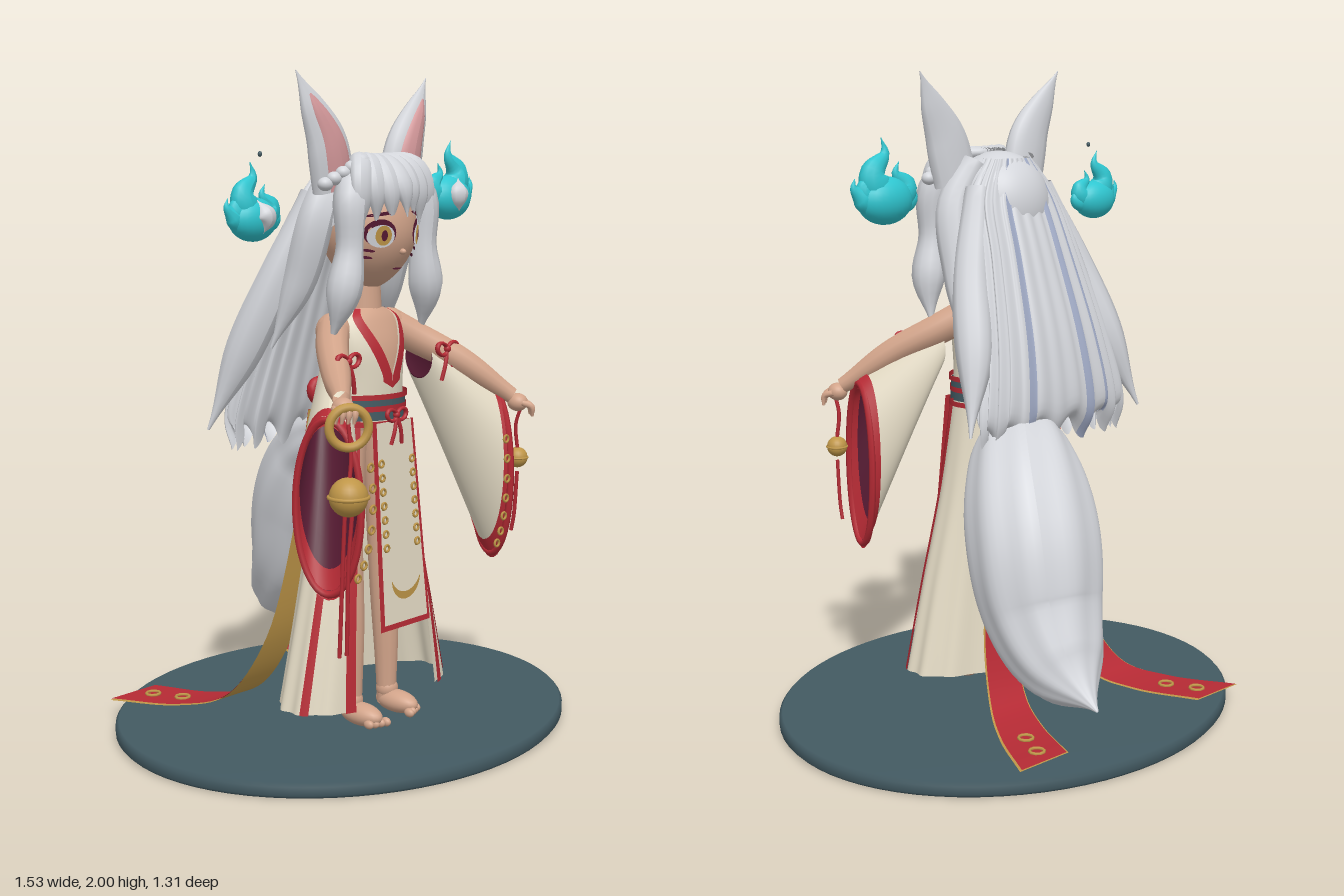
import * as THREE from 'three';

const mat = (name, color) => new THREE.MeshStandardMaterial({ name, color, side: THREE.DoubleSide });
const V = (p) => new THREE.Vector3(...p);

// Smooth interpolation through rows of numbers, t in 0..1
function key(rows) {
  const cols = rows[0].map((_, c) => new THREE.SplineCurve(rows.map((r, i) => new THREE.Vector2(i, r[c]))));
  return (t) => cols.map((s) => s.getPoint(t).y);
}

// Surface from a rule f(u, v) -> [x, y, z]
function grid(f, nu, nv) {
  const pos = [], idx = [];
  for (let j = 0; j <= nv; j++) for (let i = 0; i <= nu; i++) pos.push(...f(i / nu, j / nv));
  for (let j = 0; j < nv; j++) for (let i = 0; i < nu; i++) {
    const a = j * (nu + 1) + i, b = a + nu + 1;
    idx.push(a, b, a + 1, b, b + 1, a + 1);
  }
  const g = new THREE.BufferGeometry();
  g.setAttribute('position', new THREE.Float32BufferAttribute(pos, 3));
  g.setIndex(idx);
  g.computeVertexNormals();
  return g;
}

// Tube with changing radius, flattened along the world axes, with optional grooves
function taper(points, radii, { flat = [1, 1, 1], seg = 20, rad = 12, groove = 0, n = 7 } = {}) {
  const path = new THREE.CatmullRomCurve3(points.map(V));
  const g = new THREE.TubeGeometry(path, seg, 1, rad), p = g.attributes.position;
  const r = key(radii.map((q) => [q])), v = new THREE.Vector3(), f = V(flat);
  for (let k = 0; k < p.count; k++) {
    const i = Math.floor(k / (rad + 1)), a = (k % (rad + 1)) / rad * Math.PI * 2, c = path.getPointAt(i / seg);
    const w = Math.max(0.001, r(i / seg)[0]) * (1 + groove * Math.cos(a * n + i / seg * 3));
    v.fromBufferAttribute(p, k).sub(c).multiplyScalar(w).multiply(f).add(c);
    p.setXYZ(k, v.x, v.y, v.z);
  }
  g.computeVertexNormals();
  return g;
}

// Elliptical loft; rows are [y, rx, cz, rz], angle 0 faces the front
function loft(rows, a0, a1, { grow = 0, pleat = 0, nu = 48, nv = 16 } = {}) {
  const k = key(rows);
  return grid((u, v) => {
    const [y, rx, cz, rz] = k(v), a = a0(v) + (a1(v) - a0(v)) * u, w = 1 + pleat * v * Math.cos(a * 14);
    return [(rx + grow) * w * Math.sin(a), y, cz + (rz + grow) * w * Math.cos(a)];
  }, nu, nv);
}

export function createModel() {
  const root = new THREE.Group(), body = new THREE.Group();
  root.name = 'foxMaidenFigurine';
  body.name = 'figure';
  body.position.x = -0.055;
  root.add(body);
  const hair = mat('silver hair', 0xd3d5da), blue = mat('blue hair', 0xa3adc8), skin = mat('skin', 0xd2a48a),
    cream = mat('cream cloth', 0xe2d9c3), red = mat('red trim', 0xb52a34), maroon = mat('maroon lining', 0x561a32),
    gold = mat('gold', 0xbf9648), teal = mat('teal flame', 0x2fc6d0), slate = mat('slate', 0x435a62), pink = mat('ear pink', 0xd69a9c);
  const add = (name, geo, m, pos = [0, 0, 0], parent = body) => {
    const o = new THREE.Mesh(geo, m);
    o.name = name;
    o.position.set(...pos);
    parent.add(o);
    return o;
  };
  const ball = (name, r, m, pos, parent) => {
    const o = add(name, new THREE.SphereGeometry(1, 24, 16), m, pos, parent);
    o.scale.set(...r);
    return o;
  };
  const cord = (name, pts, r = 0.007, m = red) =>
    add(name, new THREE.TubeGeometry(new THREE.CatmullRomCurve3(pts.map(V)), 20, r, 6), m);
  const all = [() => 0, () => Math.PI * 2];

  // Base
  const base = add('base', new THREE.LatheGeometry([[0, 0], [0.755, 0], [0.765, 0.01], [0.765, 0.035], [0.755, 0.045], [0, 0.045]]
    .map((p) => new THREE.Vector2(...p)), 72), slate, [0, 0, 0], root);
  base.scale.z = 0.655 / 0.765;

  // Skirt with an open front and red edging
  const skirt = [[0.99, 0.135, 0.13, 0.11], [0.7, 0.19, 0.13, 0.13], [0.4, 0.265, 0.135, 0.147], [0.13, 0.33, 0.135, 0.165]];
  const gap = (v) => 0.8 - 0.2 * v;
  add('skirt', loft(skirt, gap, (v) => Math.PI * 2 - gap(v), { pleat: 0.02, nu: 120 }), cream);
  for (const s of [-1, 1]) {
    add('skirtEdge', loft(skirt, (v) => s * gap(v), (v) => s * (gap(v) + 0.12), { grow: 0.007, nu: 4 }), red);
    add('skirtSideStripe', loft(skirt, () => s * 1.2, () => s * 1.34, { grow: 0.008, nu: 4 }), red);
  }

  // Front panel with border, gold studs and crescent
  const panelZ = (y) => 0.25 + (0.98 - y) * 0.09;
  const panel = (w, y0, y1, lift) => grid((u, v) => {
    const y = y0 + (y1 - y0) * v;
    return [(u - 0.5) * 2 * (w + 0.02 * v), y, panelZ(y) + lift];
  }, 2, 8);
  add('panelBorder', panel(0.093, 0.98, 0.36, 0), red);
  add('frontPanel', panel(0.078, 0.98, 0.378, 0.004), cream);
  for (let i = 0; i < 7; i++) for (const s of [-1, 1]) {
    const y = 0.86 - i * 0.042;
    add('panelStud', new THREE.TorusGeometry(0.01, 0.004, 6, 12), gold, [s * 0.07, y, panelZ(y) + 0.006]);
  }
  const moon = new THREE.Shape();
  moon.absarc(0, 0, 0.065, Math.PI * 1.02, Math.PI * 1.98, false);
  moon.absarc(0, 0.028, 0.07, -0.45, Math.PI + 0.45, true);
  add('crescent', new THREE.ShapeGeometry(moon, 20), gold, [0, 0.51, panelZ(0.45) + 0.008]);

  // Bodice, neckline and neck
  const chest = [[0.98, 0.135, 0.13, 0.105], [1.1, 0.128, 0.14, 0.1], [1.2, 0.136, 0.14, 0.095], [1.28, 0.125, 0.13, 0.075], [1.315, 0.06, 0.13, 0.05]];
  add('bodice', loft(chest, ...all), cream);
  const vee = (v) => Math.max(0, (v - 0.28) * 1.25);
  add('chestSkin', loft(chest, (v) => -vee(v), vee, { grow: 0.004 }), skin);
  for (const s of [-1, 1])
    add('neckTrim', loft(chest, (v) => s * vee(v), (v) => s * (vee(v) + (v > 0.22 ? 0.27 : 0)), { grow: 0.009, nu: 6, nv: 24 }), red);
  add('neck', new THREE.CylinderGeometry(0.05, 0.058, 0.15, 24), skin, [0, 1.35, 0.13]);

  // Belt, cords and knots
  add('belt', loft([[0.985, 0.143, 0.13, 0.118], [1.05, 0.141, 0.13, 0.116]], ...all, { nv: 2 }), slate);
  for (const y of [0.975, 1.02, 1.055])
    add('beltCord', loft([[y - 0.008, 0.146, 0.13, 0.121], [y + 0.008, 0.146, 0.13, 0.121]], ...all, { nv: 1, grow: y === 1.02 ? -0.001 : 0.002 }), red);
  const bow = (name, x, y, z, r) => {
    for (const s of [-1, 1]) {
      const loop = add(name, new THREE.TorusGeometry(r, r * 0.32, 8, 18), red, [x + s * r, y, z]);
      loop.scale.y = 0.75;
      loop.rotation.z = s * 0.4;
      cord(name + 'Tail', [[x, y, z], [x + s * r * 0.6, y - r * 2, z + 0.005], [x + s * r * 1.1, y - r * 4, z]], r * 0.28);
    }
    ball(name + 'Knot', [r * 0.5, r * 0.5, r * 0.5], red, [x, y, z]);
  };
  bow('beltBow', 0, 1.0, 0.265, 0.022);
  bow('backBow', 0, 1.05, 0.01, 0.05);

  for (const s of [-1, 1]) {
    const left = s > 0, hy = left ? 1.0 : 1.07;
    // Legs and feet
    add('leg', taper([[s * 0.08, 0.07, 0.16], [s * 0.08, 0.3, 0.155], [s * 0.075, 0.6, 0.14], [s * 0.07, 0.95, 0.13]], [0.03, 0.043, 0.046, 0.06]), skin);
    ball('foot', [0.04, 0.035, 0.08], skin, [s * 0.083, 0.08, 0.2]);
    ball('ankle', [0.035, 0.035, 0.035], skin, [s * 0.082, 0.115, 0.16]);
    for (let i = 0; i < 4; i++) ball('toe', [0.012, 0.014, 0.018], skin, [s * (0.055 + i * 0.018), 0.065, 0.275 - i * 0.007]);

    // Arms and hands
    ball('shoulder', [0.052, 0.055, 0.055], skin, [s * 0.125, 1.25, 0.125]);
    add('arm', taper([[s * 0.12, 1.26, 0.12], [s * 0.19, 1.21, 0.18], [s * 0.28, 1.14, 0.28], [s * 0.39, hy + 0.03, 0.4]], [0.05, 0.047, 0.04, 0.025]), skin);
    ball('hand', [0.03, 0.028, 0.033], skin, [s * 0.4, hy + 0.01, 0.415]);
    for (let i = 0; i < 4; i++)
      add('finger', taper([[s * (0.39 + i * 0.012), hy + 0.01, 0.44 - i * 0.012], [s * (0.405 + i * 0.012), hy, 0.465 - i * 0.012], [s * (0.41 + i * 0.012), hy - 0.03, 0.465 - i * 0.012]], [0.009, 0.01, 0.004], { seg: 8, rad: 8 }), skin);

    // Hanging sleeve, lining and rim
    const rim = (a, k) => [s * (0.375 - 0.03 * Math.sin(a)), 0.785 + 0.255 * k * Math.cos(a) * (left ? 1.04 : 1), 0.335 + 0.1 * k * Math.sin(a)];
    const sleeve = (k) => grid((u, v) => {
      const a = u * Math.PI * 2, b = rim(a, k);
      const t = [s * 0.19, 1.15 + 0.065 * k * Math.cos(a), 0.19 + 0.055 * k * Math.sin(a)];
      return b.map((q, i) => t[i] + (q - t[i]) * v);
    }, 36, 8);
    add('sleeve', sleeve(1), cream);
    add('sleeveLining', sleeve(0.95), maroon);
    const border = (v0, k, m, name) => add(name, grid((u, v) => {
      const a = u * Math.PI * 2, b = rim(a, k), w = v0 + (1.005 - v0) * v;
      const t = [s * 0.19, 1.15 + 0.065 * k * Math.cos(a), 0.19 + 0.055 * k * Math.sin(a)];
      return b.map((q, i) => t[i] + (q - t[i]) * w);
    }, 36, 1), m);
    border(0.9, 1.03, red, 'sleeveBorder');
    border(0.9, 0.92, red, 'sleeveInnerBorder');
    add('sleeveRim', new THREE.TubeGeometry(new THREE.CatmullRomCurve3(Array.from({ length: 20 }, (_, i) => V(rim(i / 20 * Math.PI * 2, 0.98))), true), 60, 0.011, 6, true), red);
    for (let i = 0; i < 7; i++) {
      const p = rim(1.2 + i * 0.22, 1.07);
      add('sleeveStud', new THREE.TorusGeometry(0.011, 0.004, 6, 12), gold, [p[0] - s * 0.035, p[1] + 0.02, p[2] + 0.004]);
    }
    bow('sleeveBow', s * 0.225, 1.18, 0.275, 0.024);

    // Bells and tassels
    const br = left ? 0.032 : 0.055, bx = s * (left ? 0.41 : 0.405), bz = left ? 0.41 : 0.44;
    ball('bell', [br, br, br], gold, [bx, 0.835, bz]);
    const band = add('bellBand', new THREE.TorusGeometry(br, br * 0.1, 8, 28), gold, [bx, 0.835, bz]);
    band.rotation.x = Math.PI / 2;
    cord('bellCord', [[bx, 0.86, bz], [bx - s * 0.01, 0.94, bz], [s * 0.4, hy, 0.43]], 0.006);
    for (const d of left ? [0] : [-0.015, 0.015])
      cord('tassel', [[bx + d, 0.79, bz], [bx + d * 0.8, 0.65, bz - 0.01], [bx + d, left ? 0.6 : 0.38, bz - 0.02]], 0.006);

    // Trailing sash with gold edges
    const path = new THREE.CatmullRomCurve3([[0.06, 1, 0.0], [0.1, 0.6, -0.025], [0.16, 0.28, -0.075], [0.22, 0.1, -0.18], [0.29, 0.062, -0.31], [0.385, 0.06, -0.51]].map((p) => V([p[0] * s, p[1], p[2]])));
    const sash = (w, lift) => grid((u, v) => {
      const p = path.getPoint(v);
      return [p.x + (u - 0.5) * (0.08 + 0.1 * v) * w, p.y + lift * v, p.z - lift * (1 - v)];
    }, 2, 36);
    add('sashEdge', sash(1.08, 0), gold);
    add('sash', sash(1, 0.004), red);
    for (const t of [0.85, 0.94]) {
      const p = path.getPoint(t);
      add('sashFlower', new THREE.TorusGeometry(0.022, 0.005, 6, 10), gold, [p.x, p.y + 0.006, p.z]).rotation.x = Math.PI / 2;
    }
  }
  const ring = add('goldHoop', new THREE.TorusGeometry(0.055, 0.013, 10, 32), gold, [-0.415, 1.03, 0.45]);
  ring.rotation.y = -0.6;

  // Head and face
  const skull = new THREE.SphereGeometry(1, 40, 28), sp = skull.attributes.position;
  for (let i = 0; i < sp.count; i++) {
    const y = sp.getY(i), k = y < 0 ? 1 - 0.22 * y * y : 1;
    sp.setXYZ(i, sp.getX(i) * 0.145 * k, 1.55 + y * 0.18, 0.15 + sp.getZ(i) * 0.145 * k);
  }
  skull.computeVertexNormals();
  add('head', skull, skin);
  const faceZ = (x, y) => 0.15 + 0.145 * Math.sqrt(Math.max(0, 1 - (x / 0.145) ** 2 - ((y - 1.55) / 0.18) ** 2));
  const decal = (name, x, y, rx, ry, lift, m, tilt = 0) => {
    const g = new THREE.CircleGeometry(1, 24).scale(rx, ry, 1).rotateZ(tilt).translate(x, y, 0), p = g.attributes.position;
    for (let i = 0; i < p.count; i++) p.setZ(i, faceZ(p.getX(i), p.getY(i)) + lift);
    add(name, g, m);
  };
  for (const s of [-1, 1]) {
    decal('eyeLash', s * 0.078, 1.54, 0.041, 0.04, 0.002, maroon, s * 0.2);
    decal('eyeWhite', s * 0.078, 1.531, 0.035, 0.033, 0.004, hair);
    decal('iris', s * 0.075, 1.533, 0.021, 0.029, 0.006, gold);
    decal('pupil', s * 0.075, 1.533, 0.008, 0.016, 0.008, maroon);
    decal('brow', s * 0.075, 1.595, 0.04, 0.005, 0.003, maroon, -s * 0.15);
    for (const d of [0, 0.02]) decal('cheekMark', s * 0.105, 1.47 + d, 0.016, 0.004, 0.004, maroon, s * 0.2);
  }
  decal('mouth', 0, 1.435, 0.02, 0.003, 0.004, maroon);
  ball('nose', [0.009, 0.009, 0.012], skin, [0, 1.485, 0.285]);

  // Hair cap, fringe and side locks
  const cap = ball('hairCap', [0.17, 0.19, 0.17], hair, [0, 1.575, 0.115]);
  cap.geometry = new THREE.SphereGeometry(1, 40, 24, 0, Math.PI * 2, 0, Math.PI * 0.56);
  cap.rotation.x = -0.55;
  for (let i = -3; i <= 3; i++) {
    const x = i * 0.042, e = Math.abs(i);
    add('fringeLock', taper([[x * 0.3, 1.755, 0.13], [x * 0.9, 1.735, 0.225], [x * 1.1, 1.67, 0.287 - e * 0.012], [x * 1.15 + 0.01, 1.585 - e * 0.012 + (i % 2) * 0.012, 0.295 - e * 0.018]], [0.02, 0.042, 0.038, 0.002], { flat: [1, 0.7, 0.6] }), hair);
  }
  for (const s of [-1, 1]) {
    add('sideLock', taper([[s * 0.08, 1.74, 0.17], [s * 0.155, 1.65, 0.22], [s * 0.165, 1.48, 0.225], [s * 0.19, 1.34, 0.215], [s * 0.2, 1.24, 0.19]], [0.03, 0.048, 0.04, 0.052, 0.006], { groove: 0.06, n: 5 }), hair);
    add('templeLock', taper([[s * 0.1, 1.73, 0.1], [s * 0.175, 1.6, 0.11], [s * 0.2, 1.4, 0.06], [s * 0.25, 1.2, -0.01]], [0.04, 0.055, 0.045, 0.004], { groove: 0.06 }), hair);
    add('outerLock', taper([[s * 0.13, 1.65, 0.05], [s * 0.22, 1.4, -0.02], [s * 0.29, 1.15, -0.11], [s * 0.36, 0.95, -0.17]], [0.04, 0.055, 0.055, 0.004], { groove: 0.06 }), hair);
    for (let i = 0; i < 5; i++) ball('braidBead', [0.024, 0.02, 0.022], hair, [s * (0.115 + i * 0.025), 1.745 - i * 0.016, 0.225 - i * 0.012]);

    // Ears
    const ear = (k, z) => taper([[s * 0.14, 1.67, 0.14 + z], [s * 0.175, 1.8, 0.145 + z], [s * 0.23, 1.9, 0.14 + z * 0.8], [s * 0.287, 2 - (1 - k) * 0.12, 0.13 + z * 0.5]].map((p, i) => [p[0] - (i === 3 ? s * (1 - k) * 0.07 : 0), p[1], p[2]]), [0.08 * k, 0.077 * k, 0.047 * k, 0.002], { flat: [1, 1, 0.5] });
    add('ear', ear(1, 0), hair);
    add('innerEar', ear(0.65, 0.021), pink);
  }

  // Long back hair with blue streaks
  const fall = key([[1.74, 0.08, 0.06, 0.05], [1.62, 0.165, 0.04, 0.08], [1.45, 0.2, -0.03, 0.075], [1.2, 0.25, -0.105, 0.08], [1.0, 0.29, -0.145, 0.07], [0.92, 0.28, -0.14, 0.03]]);
  const mane = (a0, a1, grow, nu) => grid((u, v) => {
    const a = a0 + (a1 - a0) * u, [y, w, z, d] = fall(v), k = 1 + 0.035 * Math.cos(a * 26), c = Math.cos(a), q = Math.sin(a);
    return [(w + grow) * k * c, y - 0.04 * v ** 6 * Math.cos(a * 13), z + (d + grow) * k * Math.sign(q) * Math.abs(q) ** 0.7];
  }, nu, 30);
  add('backHair', mane(0, Math.PI * 2, 0, 180), hair);
  for (const a of [-2.25, -1.95, -1.1]) add('blueStreak', mane(a, a + 0.1, 0.004, 6), blue);
  add('blueUnderHair', mane(0.5, 0.8, 0.004, 8), blue);

  // Tail
  add('tail', taper([[-0.05, 0.95, 0.02], [0.02, 0.9, -0.08], [0.09, 0.82, -0.17], [0.15, 0.64, -0.275], [0.18, 0.43, -0.355], [0.21, 0.3, -0.47], [0.24, 0.225, -0.63]],
    [0.05, 0.13, 0.175, 0.185, 0.165, 0.115, 0.004], { flat: [1.12, 1, 1], seg: 48, rad: 56, groove: 0.025, n: 9 }), hair, [0, 0, 0], root);

  // Floating flames
  for (const [x, y, z, k, s] of [[-0.505, 1.52, 0.12, 0.95, -1], [0.415, 1.56, 0.075, 1.08, 1]]) {
    const f = new THREE.Group();
    f.name = 'spiritFlame';
    f.position.set(x, y, z);
    f.scale.set(k * s, k, k);
    root.add(f);
    ball('flameBody', [0.085, 0.065, 0.055], teal, [0, 0.068, 0], f);
    for (const [tx, ty, w, bend] of [[-0.095, 0.12, 0.025, -0.01], [-0.05, 0.17, 0.035, -0.03], [0.01, 0.235, 0.042, 0.03], [0.055, 0.165, 0.03, 0.02], [0.1, 0.13, 0.028, -0.01]])
      add('flameTongue', taper([[tx * 0.5, 0.05, 0], [tx * 0.85 + bend, ty * 0.6, 0], [tx - bend * 0.4, ty * 0.82, 0], [tx, ty, 0]], [w, w * 1.1, w * 0.55, 0.001], { flat: [1, 1, 0.8] }), teal, [0, 0, 0], f);
    add('flameCore', taper([[0, 0.03, 0.04], [-0.01, 0.07, 0.048], [0.01, 0.125, 0.03]], [0.005, 0.034, 0.001], { flat: [1, 1, 0.8] }), hair, [0, 0, 0], f);
  }
  ball('spark', [0.006, 0.008, 0.006], slate, [-0.475, 1.765, 0.12], root);
  return root;
}
